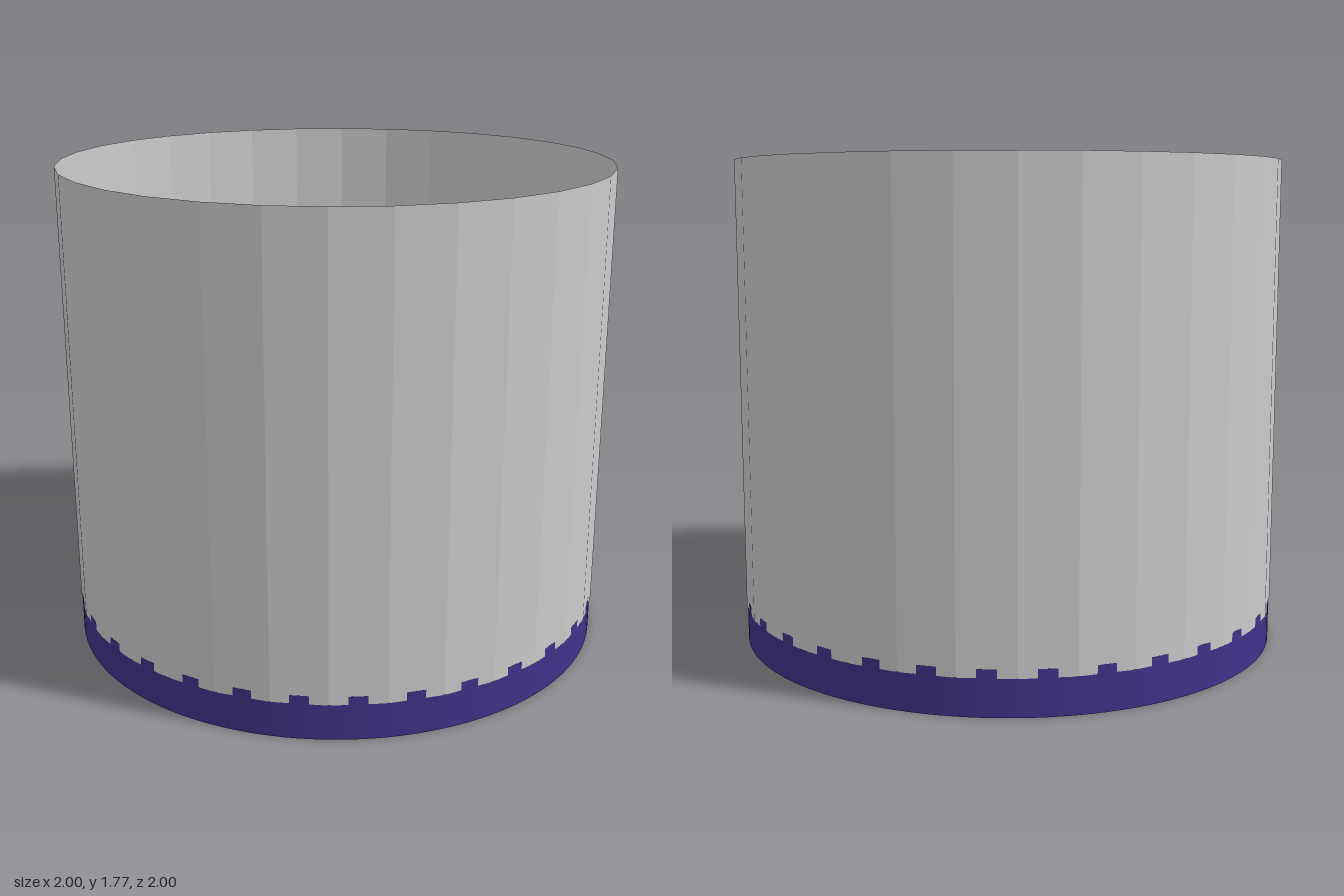
import * as THREE from 'three';

const material = (color, extra = {}) => new THREE.MeshStandardMaterial({ color, ...extra });

function addPart(group, name, geometry, mat, x, y, z) {
  const mesh = new THREE.Mesh(geometry, mat);
  mesh.name = name;
  mesh.position.set(x, y, z);
  group.add(mesh);
  return mesh;
}

export function createModel() {
  const group = new THREE.Group();
  group.name = 'jar';

  // Round base; it pokes slightly through the middle of each wall facet
  const baseHeight = 0.16;
  addPart(group, 'base', new THREE.CylinderGeometry(0.996, 0.996, baseHeight, 128),
    material(0x3f338a), 0, baseHeight / 2, 0);

  // Open faceted wall of the jar
  const wallBottom = 0.13, wallTop = 1.77;
  addPart(group, 'wall',
    new THREE.CylinderGeometry(1, 1, wallTop - wallBottom, 32, 1, true),
    material(0xcccccc, { flatShading: true, side: THREE.DoubleSide }),
    0, (wallBottom + wallTop) / 2, 0);

  // Two rounded lobes floating in the middle
  const lobes = new THREE.Group();
  lobes.name = 'lobes';
  lobes.position.y = 0.95;
  group.add(lobes);
  const lobeMaterial = material(0xcd8c7b);
  for (const side of [-1, 1]) {
    const lobe = addPart(lobes, side < 0 ? 'backLobe' : 'frontLobe',
      new THREE.SphereGeometry(1, 32, 24), lobeMaterial, 0, 0, side * 0.072);
    lobe.scale.set(0.132, 0.105, 0.096);
  }

  // Small bubble near the front
  addPart(group, 'bubble', new THREE.SphereGeometry(0.038, 20, 14),
    material(0xcccccc), 0.12, 0.75, 0.61);

  return group;
}
